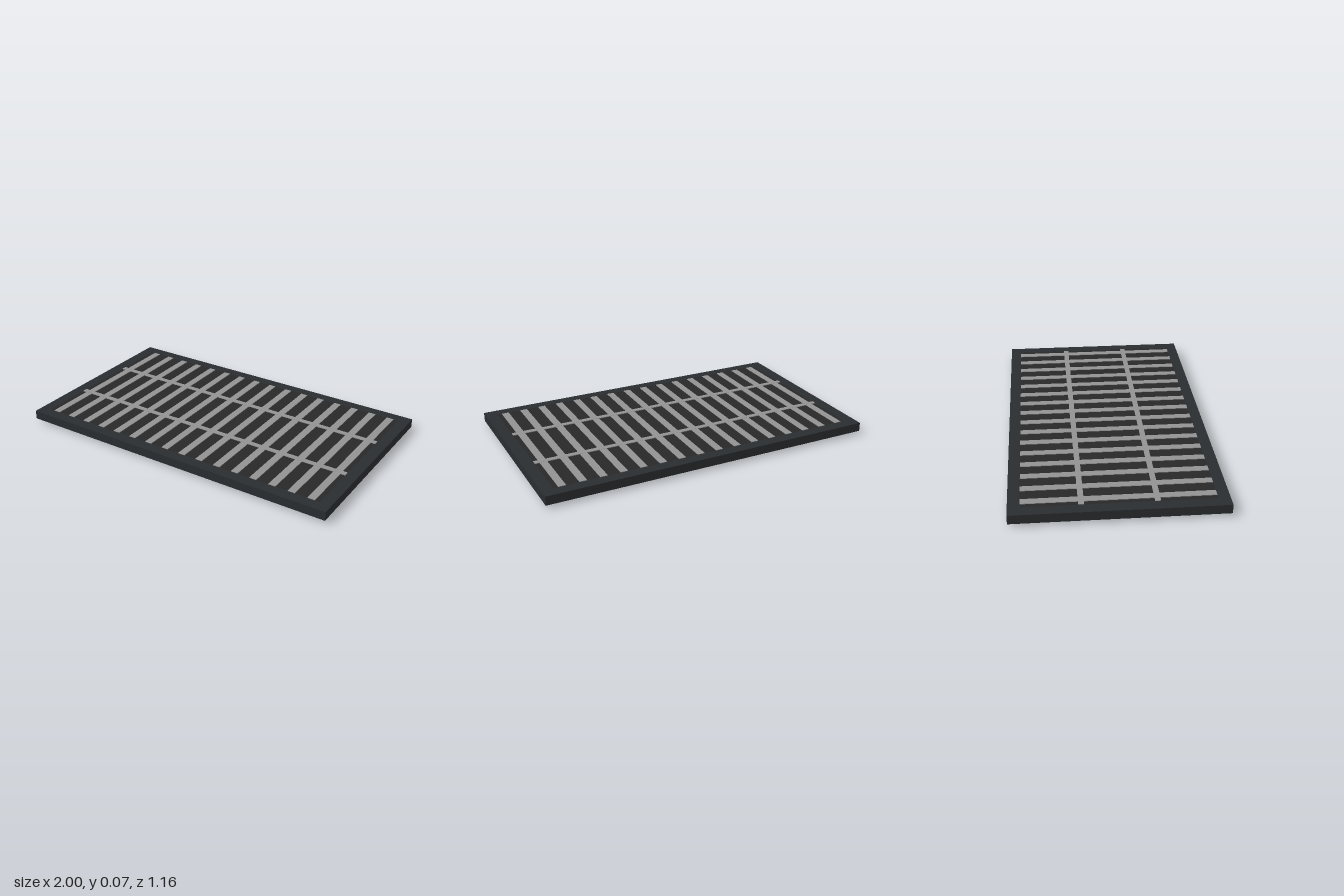
import * as THREE from 'three';

const W = 2, D = 1.165;            // outer frame
const IW = 1.866, ID = 1.034;      // frame opening
const FRAME_BOTTOM = 0.018, FRAME_TOP = 0.071;
const PLATE_TOP = 0.07;

function material(color) {
  return new THREE.MeshStandardMaterial({ color });
}

function rectangle(PathType, w, d) {
  return new PathType([[-1, -1], [1, -1], [1, 1], [-1, 1]]
    .map(([x, y]) => new THREE.Vector2(x * w / 2, y * d / 2)));
}

// Box given by its plan size, its bottom and top heights and its plan position
function slab(name, w, d, bottom, top, x, z, mat) {
  const mesh = new THREE.Mesh(new THREE.BoxGeometry(w, top - bottom, d), mat);
  mesh.name = name;
  mesh.position.set(x, (bottom + top) / 2, z);
  return mesh;
}

export function createModel() {
  const model = new THREE.Group();
  model.name = 'ventGrille';
  const frameMat = material(0x2a2d30);
  const plateMat = material(0x282828);
  const barMat = material(0x929292);

  // Outer frame with a rectangular opening
  const outline = rectangle(THREE.Shape, W, D);
  outline.holes.push(rectangle(THREE.Path, IW, ID));
  const frameGeo = new THREE.ExtrudeGeometry(outline, {
    depth: FRAME_TOP - FRAME_BOTTOM, bevelEnabled: false,
  });
  frameGeo.rotateX(-Math.PI / 2).translate(0, FRAME_BOTTOM, 0);
  const frame = new THREE.Mesh(frameGeo, frameMat);
  frame.name = 'frame';
  model.add(frame);

  // Panel filling the opening almost flush and standing out below the frame
  model.add(slab('backPlate', IW, ID, 0, PLATE_TOP, 0, 0, plateMat));

  // Row of thin slats running front to back
  const slats = new THREE.Group();
  slats.name = 'slats';
  const count = 16, pitch = 0.1178;
  for (let i = 0; i < count; i++) {
    const x = (i - (count - 1) / 2) * pitch;
    slats.add(slab('slat', 0.043, ID, PLATE_TOP, 0.0735, x, 0, barMat));
  }
  model.add(slats);

  // Two cross bars tying the slats together
  for (const z of [-0.2, 0.2]) {
    model.add(slab('crossBar', IW, 0.031, PLATE_TOP, 0.074, 0, z, barMat));
  }
  return model;
}
